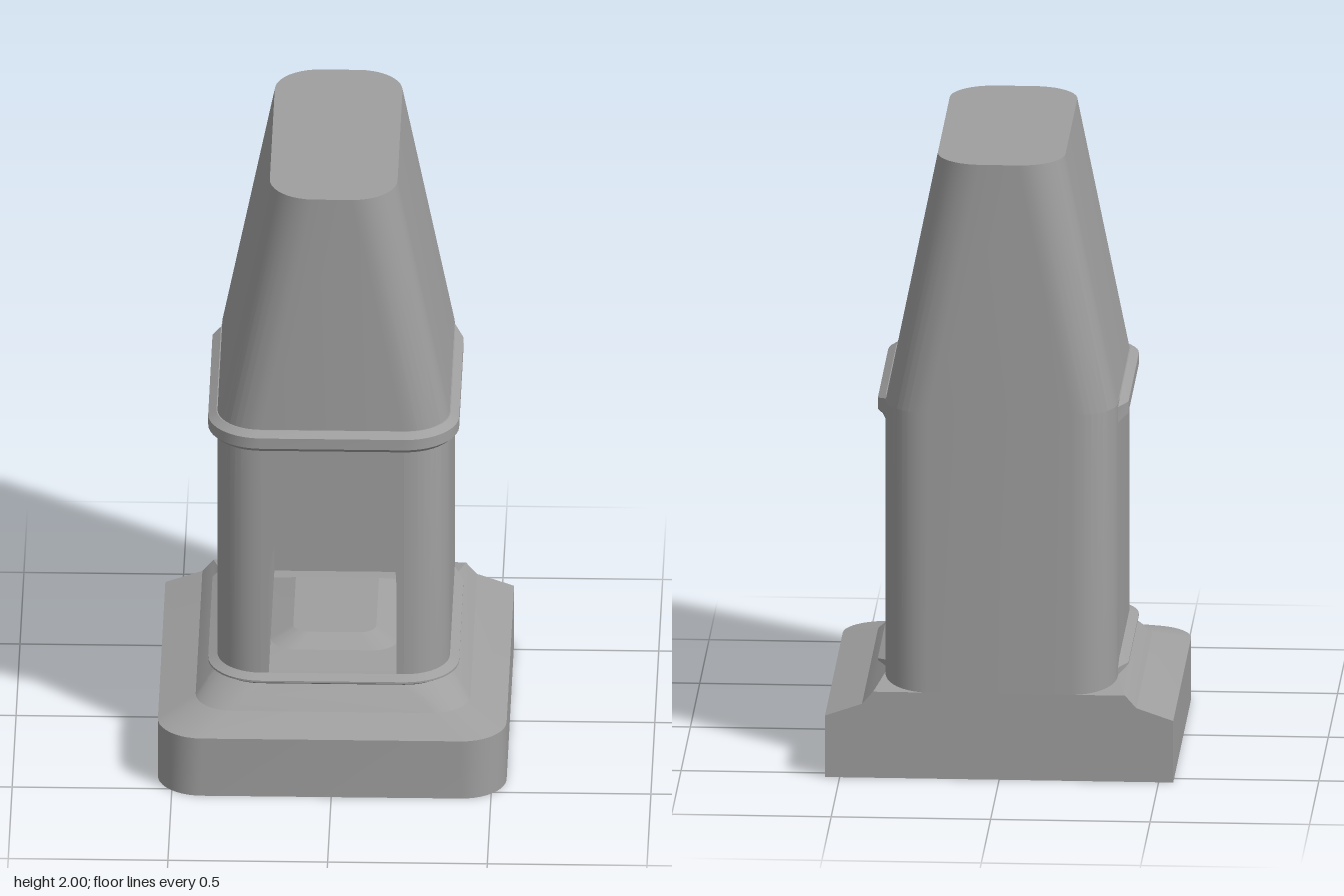
import * as THREE from 'three';
import { toCreasedNormals } from 'three/addons/utils/BufferGeometryUtils.js';

const BACK = -0.546;
const WALL = 0.364; // half width of the firebox, and the z of its front
const mat = new THREE.MeshStandardMaterial({ color: 0x9f9f9f, side: THREE.DoubleSide });

// Points of a quarter corner, from angle a0 to a0 + 90 degrees (0 = front, 90 = left side).
function corner(cx, cz, r, a0, n = 10) {
  if (r === 0) return [[cx, cz]];
  const pts = [];
  for (let i = 0; i <= n; i++) {
    const a = a0 + (i / n) * Math.PI / 2;
    pts.push([cx + r * Math.sin(a), cz + r * Math.cos(a)]);
  }
  return pts;
}

// Plan outline, running from the front round the left side, the back and the right side.
function outline(hx, zf, zb, rf, rb) {
  const h = Math.PI / 2;
  return [
    ...corner(hx - rf, zf - rf, rf, 0),
    ...corner(hx - rb, zb + rb, rb, h),
    ...corner(-hx + rb, zb + rb, rb, 2 * h),
    ...corner(-hx + rf, zf - rf, rf, 3 * h),
  ];
}

// Skin between stacked plan outlines, each { y, pts }; a band marked open has no front face.
function loft(rings, { closed = true, bottom = false, top = false, crease = 0.4 } = {}) {
  const n = rings[0].pts.length;
  const pos = [], idx = [];
  for (const { y, pts } of rings) for (const [x, z] of pts) pos.push(x, y, z);
  for (let k = 0; k < rings.length - 1; k++) {
    for (let i = 0; i < (closed && !rings[k].open ? n : n - 1); i++) {
      const a = k * n + i, b = k * n + (i + 1) % n;
      idx.push(a, b, b + n, a, b + n, a + n);
    }
  }
  const cap = (k, flip) => {
    for (let i = 1; i < n - 1; i++) {
      const a = k * n, b = a + i, c = a + i + 1;
      idx.push(a, flip ? c : b, flip ? b : c);
    }
  };
  if (bottom) cap(0, true);
  if (top) cap(rings.length - 1, false);
  const g = new THREE.BufferGeometry();
  g.setAttribute('position', new THREE.Float32BufferAttribute(pos, 3));
  g.setIndex(idx);
  return toCreasedNormals(g, crease);
}

// Moulding round the front and sides that fades into the wall near the back.
function moulding(profile) {
  const rings = profile.map(([d, y]) => {
    const hx = WALL + d, r = 0.14 + d, tip = WALL + Math.min(d, 0);
    return {
      y,
      pts: [
        [-tip, -0.395], [-hx, -0.33],
        ...corner(-hx + r, hx - r, r, 1.5 * Math.PI),
        ...corner(hx - r, hx - r, r, 0),
        [hx, -0.33], [tip, -0.395],
      ],
    };
  });
  rings.push(rings[0]);
  return loft(rings, { closed: false });
}

export function createModel() {
  const group = new THREE.Group();
  const add = (name, geometry) => {
    const mesh = new THREE.Mesh(geometry, mat);
    mesh.name = name;
    group.add(mesh);
  };

  // Stepped plinth; its raised top is the hearth floor. [half width, y, back, radius]
  const steps = [
    [0.546, 0, BACK, 0.14], [0.546, 0.2, BACK, 0.14], [0.43, 0.24, BACK, 0.12],
    [0.395, 0.28, BACK, 0.13], [0.364, 0.305, -0.4, 0.14], [0.34, 0.337, -0.36, 0.13],
    [0.2, 0.342, -0.3, 0.08], [0.13, 0.37, -0.25, 0.05],
  ];
  add('plinth', loft(
    steps.map(([h, y, zb, r]) => ({ y, pts: outline(h, h, zb, r, 0) })),
    { bottom: true, top: true, crease: 0.25 },
  ));

  // Straight walls, open across the front, rising into the tapering hood
  const wall = outline(WALL, WALL, BACK, 0.14, 0.14);
  add('wallsAndHood', loft([
    { y: 0.27, pts: wall, open: true },
    { y: 1.19, pts: wall },
    { y: 2, pts: outline(0.2, WALL, BACK, 0.14, 0.14) },
  ], { top: true, crease: 0.17 }));

  // Arch outline: straight jambs with a half ellipse on top
  const arch = [new THREE.Vector2(0.2, 0.3)];
  for (let i = 0; i <= 28; i++) {
    const a = (i / 28) * Math.PI;
    arch.push(new THREE.Vector2(0.2 * Math.cos(a), 0.64 + 0.355 * Math.sin(a)));
  }
  arch.push(new THREE.Vector2(-0.2, 0.3));

  // Front panel around the arch
  const edge = WALL - 0.14;
  const panel = new THREE.Shape([
    new THREE.Vector2(-edge, 0.3), new THREE.Vector2(-edge, 1.19),
    new THREE.Vector2(edge, 1.19), new THREE.Vector2(edge, 0.3), ...arch,
  ]);
  add('frontPanel', new THREE.ShapeGeometry(panel).translate(0, 0, WALL));

  // Firebox lining and back wall
  const depthBack = -0.4;
  const pos = [], idx = [];
  arch.forEach((p, i) => {
    pos.push(p.x, p.y, WALL, p.x, p.y, depthBack);
    if (i) {
      const a = 2 * i - 2;
      idx.push(a, a + 2, a + 1, a + 1, a + 2, a + 3);
    }
  });
  const lining = new THREE.BufferGeometry();
  lining.setAttribute('position', new THREE.Float32BufferAttribute(pos, 3));
  lining.setIndex(idx);
  add('fireboxLining', toCreasedNormals(lining, 0.5));
  add('fireboxBack', new THREE.ShapeGeometry(new THREE.Shape(arch)).translate(0, 0, depthBack));

  // Mouldings: [offset from wall, y]
  add('lowerMoulding', moulding([
    [-0.02, 0.305], [0, 0.305], [0.029, 0.322], [0.029, 0.328], [0, 0.342], [-0.02, 0.342],
  ]));
  add('mantelMoulding', moulding([
    [-0.01, 1.125], [0.013, 1.125], [0.029, 1.14], [0.029, 1.176], [0.003, 1.192], [-0.01, 1.192],
  ]));

  return group;
}
